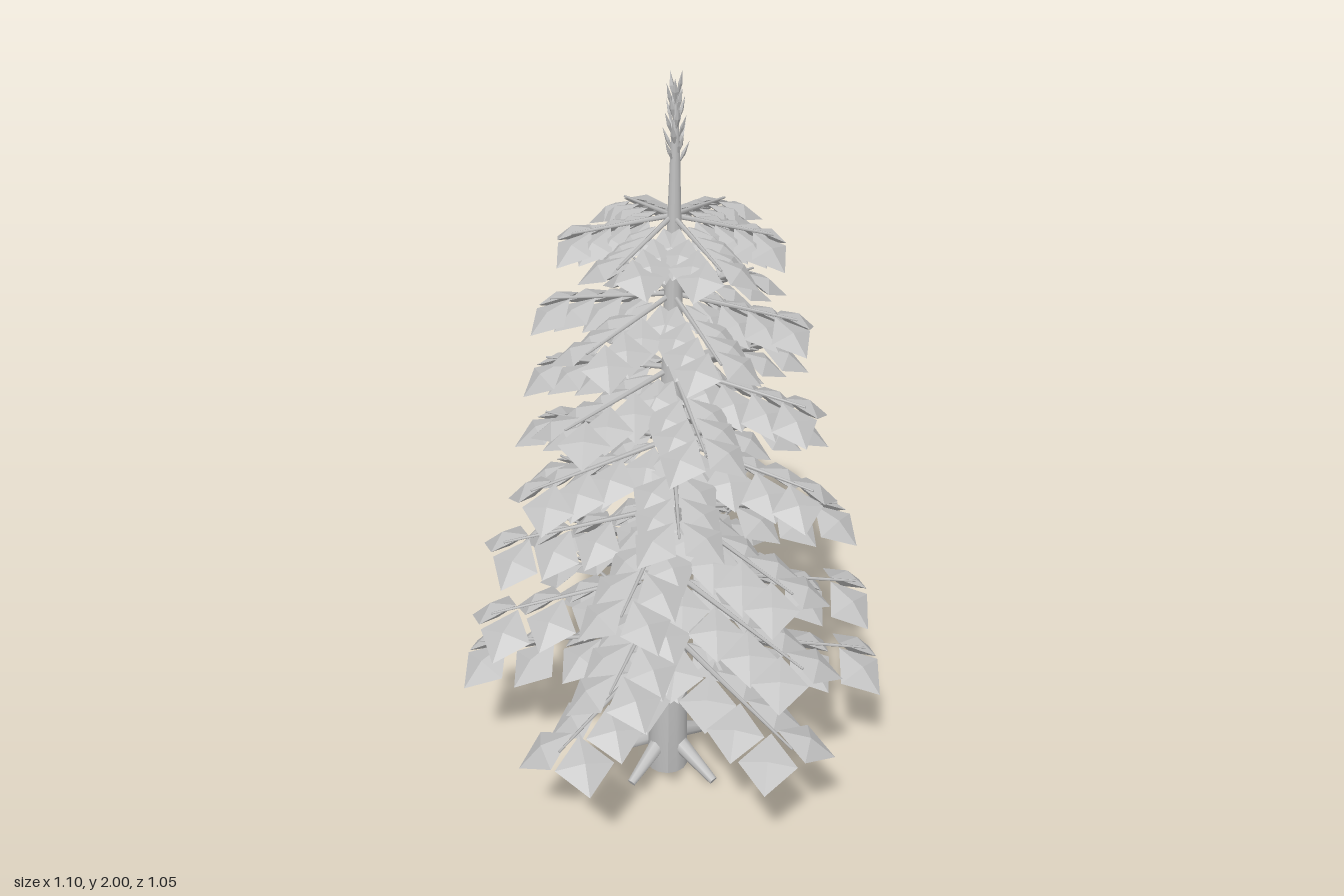
import * as THREE from 'three';
import { mergeGeometries } from 'three/addons/utils/BufferGeometryUtils.js';

const UP = new THREE.Vector3(0, 1, 0);
const RAD = Math.PI / 180;

// Tapered rod between two points
function rod(a, b, ra, rb, sides) {
  const dir = b.clone().sub(a);
  const g = new THREE.CylinderGeometry(rb, ra, dir.length(), sides);
  g.applyQuaternion(new THREE.Quaternion().setFromUnitVectors(UP, dir.clone().normalize()));
  return g.translate((a.x + b.x) / 2, (a.y + b.y) / 2, (a.z + b.z) / 2);
}

// Flat diamond leaf starting at a point, turned by yaw and drooping by pitch
function leaf(at, length, width, thick, yaw, pitch) {
  const g = new THREE.OctahedronGeometry(1);
  g.scale(length / 2, thick / 2, width / 2).translate(length / 2, 0, 0);
  g.rotateZ(pitch).rotateY(-yaw);
  return g.translate(at.x, at.y, at.z);
}

export function createModel() {
  const model = new THREE.Group();
  const grey = new THREE.MeshStandardMaterial({ color: 0xc0c0c0 });
  grey.name = 'grey';

  let seed = 7;
  const rand = () => {
    seed = (seed * 16807) % 2147483647;
    return seed / 2147483647;
  };
  const jitter = (amount) => (rand() * 2 - 1) * amount;
  const add = (name, geometry) => {
    const mesh = new THREE.Mesh(geometry, grey);
    mesh.name = name;
    model.add(mesh);
  };

  // Trunk, leaning very slightly
  const trunk = new THREE.LatheGeometry([
    [0, 0], [0.056, 0], [0.049, 0.4], [0.034, 0.95], [0.021, 1.5], [0.011, 1.82], [0.004, 1.92], [0, 1.92],
  ].map(([r, y]) => new THREE.Vector2(r, y)), 14);
  const p = trunk.attributes.position;
  for (let i = 0; i < p.count; i++) {
    p.setX(i, p.getX(i) - 0.014 + 0.011 * p.getY(i));
    p.setZ(i, p.getZ(i) + 0.007);
  }
  trunk.computeVertexNormals();
  add('trunk', trunk);

  // Roots splaying out at the foot
  const roots = [[45, 0.17], [130, 0.16], [190, 0.145], [255, 0.14], [318, 0.175]].map(([deg, r]) => {
    const c = Math.cos(deg * RAD), s = Math.sin(deg * RAD);
    return rod(new THREE.Vector3(c * 0.035 - 0.012, 0.085, s * 0.035),
      new THREE.Vector3(c * r - 0.012, 0.02, s * r), 0.024, 0.012, 8);
  });
  add('roots', mergeGeometries(roots));

  // Seven whorls of six branches, each with paired leaves
  const reach = [0.545, 0.51, 0.465, 0.415, 0.37, 0.33, 0.265];
  const lowTiers = [
    [2.6, 56.6, 124.7, 184, 240, 299],
    [0, 50, 110, 166, 229, 297],
    [-9, 50, 108, 168, 228, 289],
  ];
  reach.forEach((tipR, tier) => {
    const rootY = 0.433 + tier * 0.2018;
    const size = 1 - tier * 0.04;
    const length = 0.165 * size;
    const drop = 0.043;
    const twigs = [], leaves = [];
    for (let k = 0; k < 6; k++) {
      const deg = lowTiers[tier] ? lowTiers[tier][k] : k * 60 + 2 - tier * 10 + jitter(4);
      const a = deg * RAD;
      const end = tipR - 0.028;
      const pointAt = (r, side = 0) => new THREE.Vector3(
        Math.cos(a) * r - Math.sin(a) * side,
        rootY - drop * (r / end),
        Math.sin(a) * r + Math.cos(a) * side);
      twigs.push(rod(pointAt(0.005), pointAt(end), 0.009 * size, 0.003, 5));
      const first = 0.055;
      const last = end + 0.028 - 0.1 * size;
      const pairs = 4;
      for (let i = 0; i < pairs; i++) {
        const r = first + (last - first) * i / (pairs - 1);
        for (const side of [-1, 1]) {
          const yaw = a + side * (45 + jitter(5)) * RAD;
          const at = pointAt(r, side * 0.01);
          leaves.push(leaf(at, length, 0.15 * size, 0.046 * size, yaw, (-30 + jitter(4)) * RAD));
        }
      }
    }
    add('branches' + (tier + 1), mergeGeometries(twigs));
    add('leaves' + (tier + 1), mergeGeometries(leaves));
  });

  // Upright needles around the leader
  const needles = [];
  for (let i = 0; i < 22; i++) {
    const t = i / 21;
    const a = i * 2.4;
    const at = new THREE.Vector3(0.006 + Math.cos(a) * 0.006, 1.77 + t * 0.165, 0.006 + Math.sin(a) * 0.006);
    needles.push(leaf(at, 0.066, 0.015, 0.01, a, (66 + t * 15) * RAD));
  }
  add('topNeedles', mergeGeometries(needles));

  return model;
}
